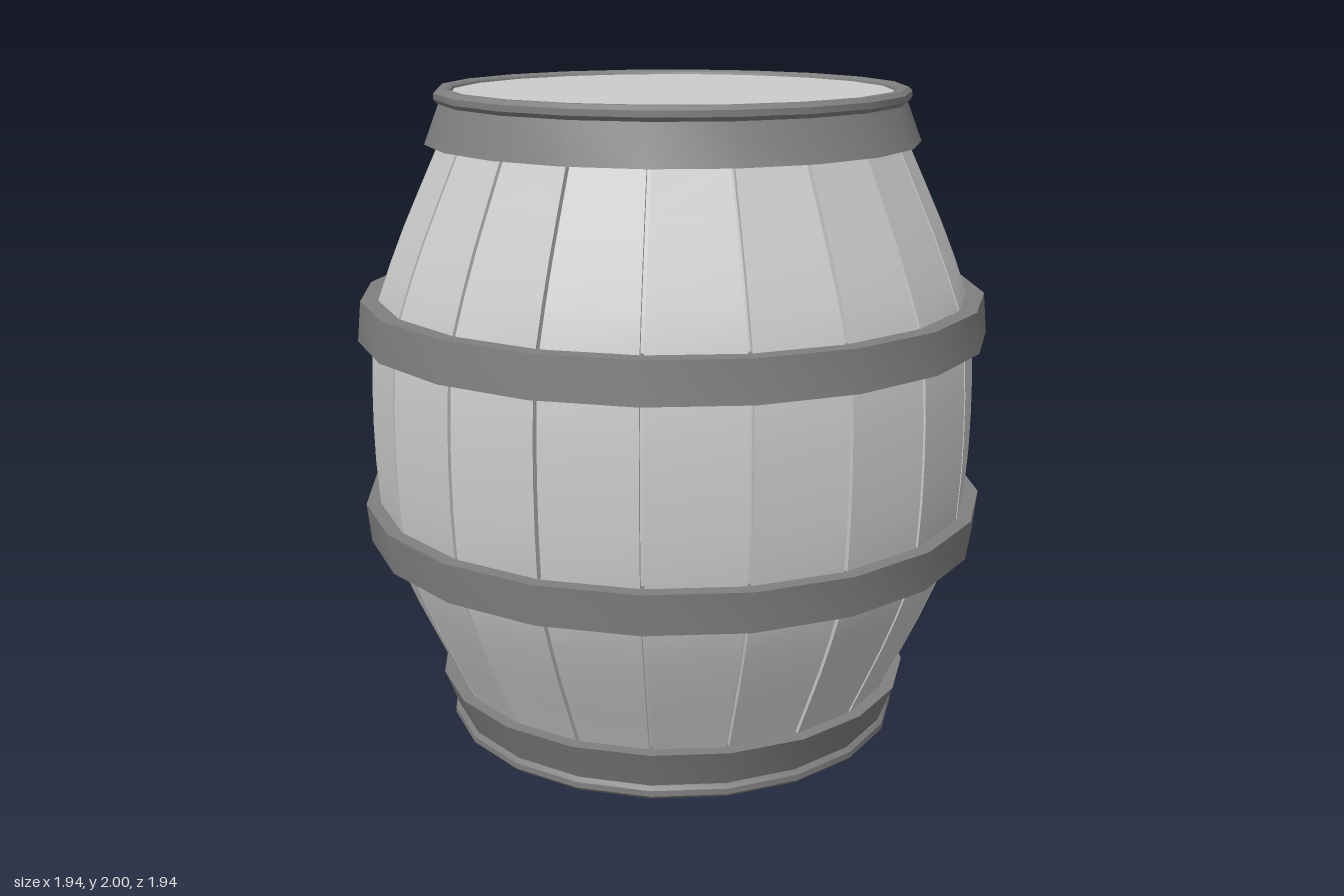
import * as THREE from 'three';
import { toCreasedNormals } from 'three/addons/utils/BufferGeometryUtils.js';

const SIDES = 20;
const STEP = (Math.PI * 2) / SIDES;
const wood = new THREE.MeshStandardMaterial({ color: 0xcccccc });
const iron = new THREE.MeshStandardMaterial({ color: 0x808080 });

// Bulging side of the barrel as [radius, height]
const lower = [[0.65, 0.02], [0.71, 0.16], [0.77, 0.29], [0.82, 0.4], [0.865, 0.51], [0.905, 0.62], [0.927, 0.75], [0.935, 0.88]];
const flip = (points) => points.map(([r, y]) => [r, 2 - y]).reverse();
const profile = [...lower, [0.937, 1], ...flip(lower)];

function lathe(points) {
  const g = new THREE.LatheGeometry(points.map(([r, y]) => new THREE.Vector2(r, y)), SIDES);
  return toCreasedNormals(g, 0.5);
}

// One plank: an open channel swept along the profile, narrowed to leave a seam
function staveGeometry() {
  const gap = 0.006, depth = 0.03, half = STEP / 2;
  const position = [], index = [];
  for (const [r, y] of profile) {
    const inner = r - depth;
    const wide = r * Math.sin(half) - gap, narrow = inner * Math.sin(half) - gap;
    position.push(-narrow, y, inner * Math.cos(half), -wide, y, r * Math.cos(half));
    position.push(wide, y, r * Math.cos(half), narrow, y, inner * Math.cos(half));
  }
  for (let i = 0; i < profile.length - 1; i++) {
    for (let j = 0; j < 3; j++) {
      const a = i * 4 + j, b = a + 1, c = a + 5, d = a + 4;
      index.push(a, b, c, a, c, d);
    }
  }
  const g = new THREE.BufferGeometry();
  g.setAttribute('position', new THREE.Float32BufferAttribute(position, 3));
  g.setIndex(index);
  return toCreasedNormals(g, 0.5);
}

export function createModel() {
  const barrel = new THREE.Group();
  barrel.name = 'barrel';
  const add = (name, geometry, material) => {
    const mesh = new THREE.Mesh(geometry, material);
    mesh.name = name;
    barrel.add(mesh);
    return mesh;
  };

  // Planks, with a core closing the seams behind them
  const stave = staveGeometry();
  for (let i = 0; i < SIDES; i++) add('stave', stave, wood).rotation.y = (i + 0.5) * STEP;
  add('core', lathe(profile.map(([r, y]) => [r - 0.022, y])), wood);

  // Closed ring sections, counterclockwise, for the lower half
  const bellyHoop = [[0.88, 0.62], [0.958, 0.62], [0.97, 0.742], [0.9, 0.742], [0.88, 0.62]];
  const endHoop = [[0.65, 0.03], [0.7, 0.03], [0.75, 0.16], [0.69, 0.16], [0.65, 0.03]];
  const rim = [[0.665, 0.02], [0.672, 0.006], [0.682, 0], [0.706, 0], [0.718, 0.012],
    [0.718, 0.03], [0.708, 0.042], [0.665, 0.042], [0.665, 0.02]];

  for (const [end, place] of [['lower', (p) => p], ['upper', flip]]) {
    add(end + 'BellyHoop', lathe(place(bellyHoop)), iron);
    add(end + 'EndHoop', lathe(place(endHoop)), iron);
    add(end + 'Rim', lathe(place(rim)), iron);
    // Flat lid, slightly recessed inside the rim
    const head = add(end + 'Head', new THREE.CylinderGeometry(0.67, 0.67, 0.06, SIDES), wood);
    head.position.y = end === 'lower' ? 0.043 : 1.957;
  }
  return barrel;
}
